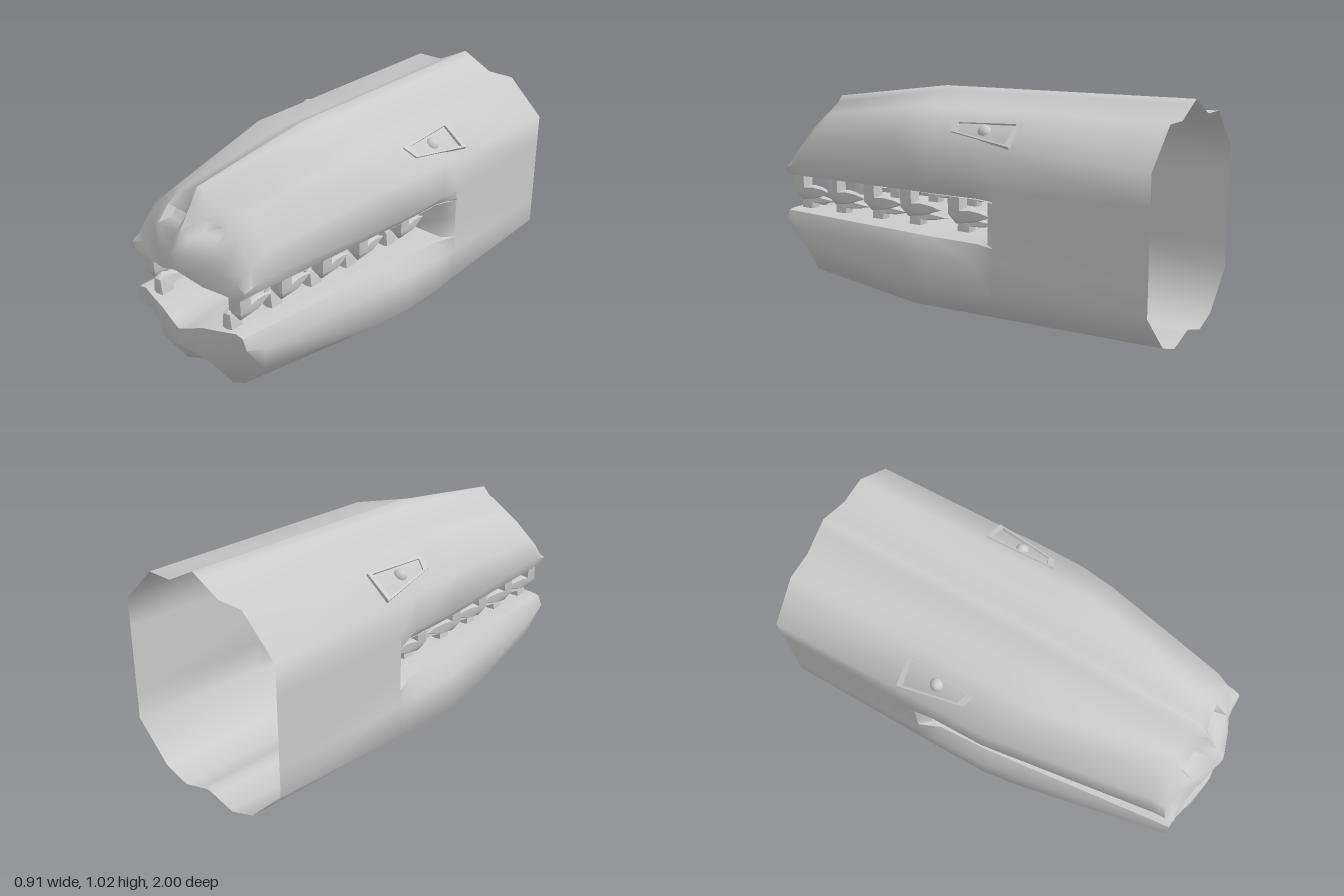
import * as THREE from 'three';
import { toCreasedNormals } from 'three/addons/utils/BufferGeometryUtils.js';

const material = new THREE.MeshStandardMaterial({ color: 0xcccccc, side: THREE.DoubleSide });

function addMesh(parent, name, geometry) {
  const mesh = new THREE.Mesh(geometry, material);
  mesh.name = name;
  parent.add(mesh);
  return mesh;
}

// Half cross-section (centre line to side) from [x, y] or [x, y, z] points
const row = (z, pts) => pts.map(([x, y, pz]) => [x, y, pz ?? z]);

// Skin between half sections mirrored across x; pocket = {row, col, depth} sinks one panel
function loft(halfRows, pocket = null) {
  const rows = halfRows.map((r) => [...r.slice(1).reverse().map(([x, y, z]) => [-x, y, z]), ...r]);
  const mid = halfRows[0].length - 1;
  const pos = [];
  const quad = (a, b, c, d) => pos.push(...a, ...b, ...c, ...a, ...c, ...d);
  for (let i = 0; i < rows.length - 1; i++) {
    for (let j = 0; j < 2 * mid; j++) {
      // split each side along mirrored diagonals
      const q = j < mid
        ? [rows[i][j], rows[i + 1][j], rows[i + 1][j + 1], rows[i][j + 1]]
        : [rows[i + 1][j], rows[i + 1][j + 1], rows[i][j + 1], rows[i][j]];
      if (pocket && i === pocket.row && (j === mid + pocket.col || j === mid - pocket.col - 1)) {
        const c = [0, 1, 2].map((k) => q.reduce((s, p) => s + p[k] / 4, 0));
        const deep = q.map((p) => p.map((v, k) => c[k] + (v - c[k]) * 0.75 - (k === 2 ? pocket.depth : 0)));
        for (let k = 0; k < 4; k++) quad(q[k], q[(k + 1) % 4], deep[(k + 1) % 4], deep[k]);
        quad(...deep);
      } else quad(...q);
    }
  }
  const g = new THREE.BufferGeometry();
  g.setAttribute('position', new THREE.Float32BufferAttribute(pos, 3));
  return toCreasedNormals(g, 1.2);
}

// w: half width, lip: height of the border, inset: how far the lip rolls inwards, cheek: height of the widest edge
const upper = (w, lip, inset = 0, cheek = 0.82) =>
  [[0, 1.025], [0.04, 1.005], [0.15, 0.95], [0.28, 0.95], [w, cheek], [w, 0.65], [w - inset, lip]];
const lower = (w, lip, inset = 0, cheek = 0.17) =>
  [[0, 0.04], [0.04, 0.03], [0.15, 0], [0.28, 0.04], [w, cheek], [w, 0.33], [w - inset, lip]];

// Hooked tooth: root at the gum with its point swept backwards, thinning towards tipY
function hook(points, width, tipY) {
  const shape = new THREE.Shape(points.map(([z, y]) => new THREE.Vector2(z, y)));
  const bevel = width * 0.3;
  const g = new THREE.ExtrudeGeometry(shape, {
    depth: width - 2 * bevel, bevelEnabled: true, bevelThickness: bevel, bevelSize: 0.006, bevelOffset: -0.006, bevelSegments: 1,
  });
  g.translate(0, 0, bevel - width / 2);
  g.rotateY(-Math.PI / 2); // profile z becomes model z
  const p = g.attributes.position;
  for (let i = 0; i < p.count; i++) {
    const back = THREE.MathUtils.clamp(1 + (p.getZ(i) + 0.07) / 0.16, 0.15, 1);
    const down = THREE.MathUtils.clamp(Math.abs(p.getY(i) - tipY) / 0.05, 0.2, 1);
    p.setX(i, p.getX(i) * Math.min(back, down));
  }
  return toCreasedNormals(g, 0.6);
}

function makeEye() {
  const eye = new THREE.Group();
  const outline = [[0.035, 0.035], [0.06, -0.03], [0.37, -0.095], [0.37, 0.052]].map(([u, v]) => new THREE.Vector2(u, v));
  const centre = new THREE.Vector2(0.24, -0.012);
  const inner = outline.map((p) => p.clone().sub(centre).multiplyScalar(0.83).add(centre));
  const frame = new THREE.Shape(outline);
  frame.holes.push(new THREE.Path(inner));
  const rim = new THREE.ExtrudeGeometry(frame, { depth: 0.022, bevelEnabled: false });
  rim.translate(0, 0, -0.015);
  addMesh(eye, 'eyeRim', rim);
  const socket = new THREE.ShapeGeometry(new THREE.Shape(inner));
  socket.translate(0, 0, -0.014);
  addMesh(eye, 'eyeSocket', socket);
  const ball = addMesh(eye, 'eyeball', new THREE.SphereGeometry(0.032, 16, 12));
  ball.position.set(0.21, -0.005, -0.012);
  // lie on the sloping brow panel
  const m = new THREE.Matrix4().makeBasis(
    new THREE.Vector3(0, 0, -1), new THREE.Vector3(-0.803, 0.596, 0), new THREE.Vector3(0.596, 0.803, 0));
  eye.quaternion.setFromRotationMatrix(m);
  eye.position.set(0.3675, 0.885, 0);
  return eye;
}

export function createModel() {
  const model = new THREE.Group();
  model.name = 'reptileHead';

  // Upper half: open neck, then the jaw, snout and sunken nostrils
  const upperLip = row(0.94, [[0, 0.635, 1], [0.04, 0.615, 0.985], [0.12, 0.58, 0.96], [0.2, 0.575, 0.945],
    [0.27, 0.575], [0.295, 0.578], [0.31, 0.582]]);
  addMesh(model, 'upperHead', loft([
    row(-1, upper(0.455, 0.5, 0, 0.785)),
    row(-0.3, upper(0.455, 0.5, 0, 0.81)),
    row(-0.3, upper(0.455, 0.6, 0, 0.81)),
    row(-0.2, upper(0.455, 0.597, 0.04)),
    row(0.05, upper(0.453, 0.595, 0.05)),
    row(0.22, upper(0.43, 0.593, 0.045)),
    row(0.84, [[0, 0.945, 0.85], [0.04, 0.915], [0.14, 0.87, 0.825], [0.2, 0.872, 0.76], [0.325, 0.75, 0.81], [0.345, 0.65], [0.318, 0.585]]),
    row(0.9, [[0, 0.87], [0.04, 0.825, 0.88], [0.17, 0.82, 0.865], [0.22, 0.8, 0.85], [0.31, 0.7, 0.88], [0.338, 0.635], [0.312, 0.583]]),
    row(0.93, [[0, 0.79, 0.955], [0.04, 0.765, 0.945], [0.165, 0.76, 0.925], [0.22, 0.73, 0.905], [0.29, 0.67, 0.905], [0.333, 0.625], [0.311, 0.583]]),
    row(0.94, [[0, 0.71, 1], [0.04, 0.7, 0.99], [0.13, 0.67, 0.967], [0.2, 0.655, 0.94], [0.27, 0.635, 0.925], [0.33, 0.615], [0.31, 0.583]]),
    upperLip,
  ], { row: 7, col: 1, depth: 0.05 }));

  // Lower half: open neck and jaw, listed from front to back
  const lowerLip = row(0.94, [[0, 0.355, 1], [0.04, 0.37, 0.995], [0.12, 0.4, 0.98], [0.2, 0.408, 0.96],
    [0.27, 0.415], [0.295, 0.412], [0.31, 0.408]]);
  addMesh(model, 'lowerHead', loft([
    lowerLip,
    row(0.94, [[0, 0.28, 1], [0.04, 0.27, 0.995], [0.13, 0.26, 0.98], [0.19, 0.275, 0.945], [0.26, 0.305, 0.92], [0.33, 0.36], [0.31, 0.408]]),
    row(0.85, [[0, 0.12], [0.04, 0.11], [0.14, 0.07], [0.215, 0.1], [0.305, 0.2, 0.82], [0.342, 0.33], [0.318, 0.407]]),
    row(0.22, lower(0.43, 0.403, 0.045)),
    row(0.05, lower(0.453, 0.402, 0.05)),
    row(-0.2, lower(0.455, 0.4, 0.04)),
    row(-0.3, lower(0.455, 0.4, 0, 0.18)),
    row(-0.3, lower(0.455, 0.5, 0, 0.18)),
    row(-1, lower(0.455, 0.5, 0, 0.21)),
  ]));

  // Palate, throat wall with gullet hollow, and mouth floor as one inner lining
  const lining = (w, ys, zs) => [0, 0.04, 0.12, 0.2, 0.25, w - 0.045, w].map((x, i) => [x, ys[i], zs[i]]);
  const roof = [0.635, 0.62, 0.585, 0.58, 0.58, 0.588, 0.593];
  const floor = [0.385, 0.39, 0.405, 0.41, 0.41, 0.406, 0.402];
  const jaw = (ys) => [[0.85, 0.318], [0.22, 0.385], [0.05, 0.403], [-0.2, 0.415]].map(([z, w]) => lining(w, ys, Array(7).fill(z)));
  const wallZ = [-0.26, -0.26, -0.26, -0.255, -0.25, -0.25, -0.3];
  const gulletZ = [-0.45, -0.4, -0.26, -0.255, -0.25, -0.25, -0.3];
  addMesh(model, 'mouthLining', loft([
    upperLip,
    ...jaw(roof),
    lining(0.455, roof, wallZ),
    lining(0.455, Array(7).fill(0.5), gulletZ),
    lining(0.455, floor, wallZ),
    ...jaw(floor).reverse(),
    lowerLip,
  ]));

  // Teeth: five hooked pairs along each side
  const upperTooth = hook([[0, 0.6], [0, 0.5], [-0.03, 0.455], [-0.12, 0.47], [-0.21, 0.5], [-0.16, 0.522], [-0.11, 0.53],
    [-0.07, 0.527], [-0.07, 0.6]], 0.065, 0.445);
  const lowerTooth = hook([[0, 0.395], [-0.07, 0.395], [-0.075, 0.433], [-0.13, 0.436], [-0.2, 0.452], [-0.12, 0.468],
    [-0.03, 0.5], [0, 0.48]], 0.055, 0.51);
  for (const side of [1, -1]) {
    const label = side > 0 ? 'left' : 'right';
    const half = new THREE.Group();
    half.name = label + 'Features';
    half.scale.x = side;
    [0.93, 0.71, 0.48, 0.26, -0.01].forEach((z, i) => {
      const t = (0.93 - z) / 0.94;
      addMesh(half, `${label}UpperTooth${i + 1}`, upperTooth).position.set(0.255 + 0.07 * t, 0, z);
      addMesh(half, `${label}LowerTooth${i + 1}`, lowerTooth).position.set(0.207 + 0.048 * t, 0, z);
    });
    const eye = makeEye();
    eye.name = label + 'Eye';
    half.add(eye);
    model.add(half);
  }
  return model;
}
